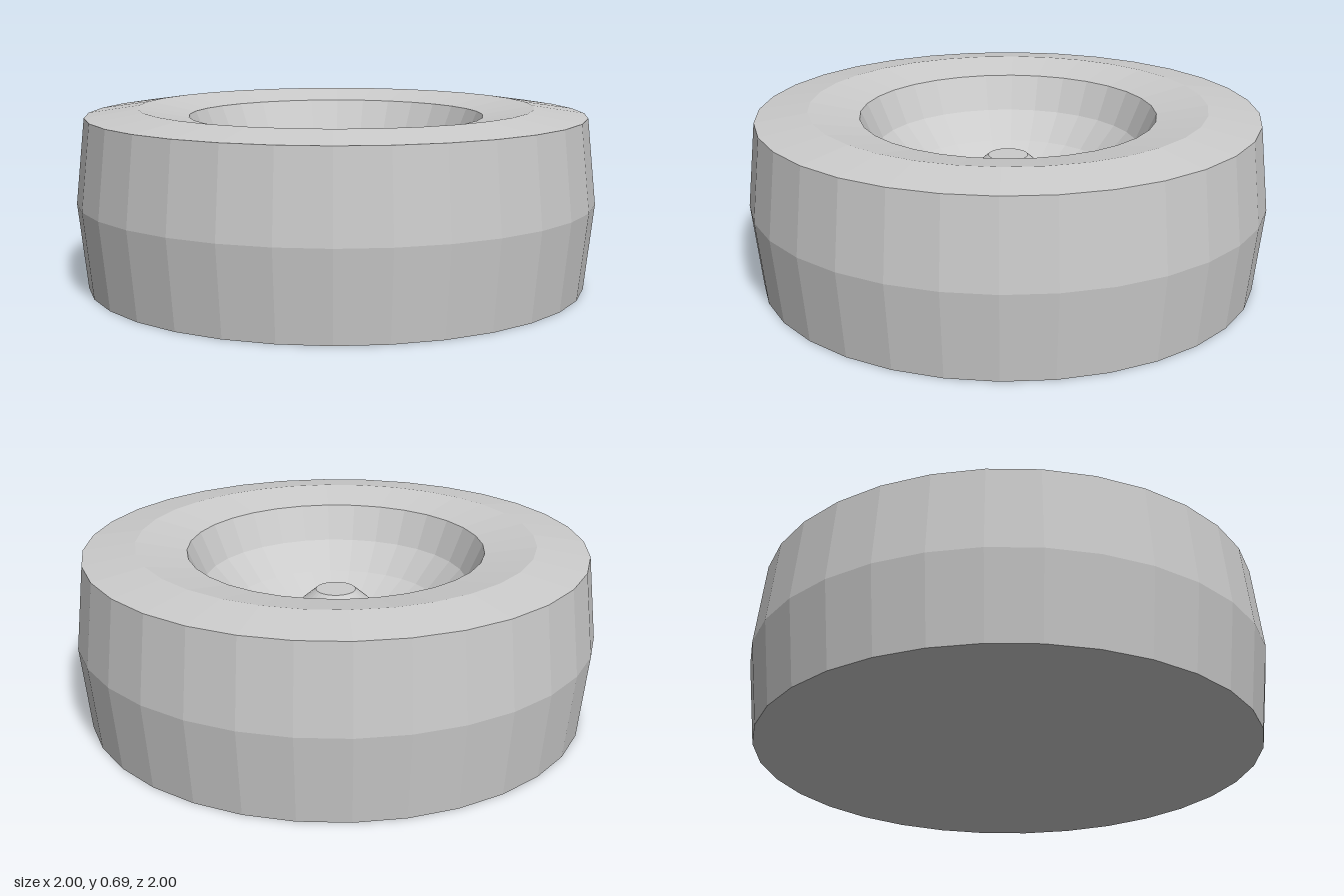
import * as THREE from 'three';

const SIDES = 32;
const material = new THREE.MeshStandardMaterial({ color: 0xcccccc, flatShading: true });

// Revolve a [radius, height] profile around the upright axis
function turned(name, profile) {
  const points = profile.map(([r, y]) => new THREE.Vector2(r, y));
  const mesh = new THREE.Mesh(new THREE.LatheGeometry(points, SIDES), material);
  mesh.name = name;
  return mesh;
}

export function createModel() {
  const wheel = new THREE.Group();
  wheel.name = 'wheel';

  // Closed flat back, bulging tread and ridged sidewall
  wheel.add(turned('tire', [
    [0, 0], [0.965, 0], [1, 0.33], [0.965, 0.655], [0.765, 0.685], [0.57, 0.65],
  ]));

  // Dished rim with a flat floor
  wheel.add(turned('rim', [
    [0.57, 0.65], [0.51, 0.515], [0.41, 0.41], [0.275, 0.335], [0, 0.335],
  ]));

  // Chamfered hub cap standing on the rim floor
  wheel.add(turned('hub', [
    [0.135, 0.335], [0.135, 0.43], [0.077, 0.48], [0, 0.48],
  ]));

  return wheel;
}
